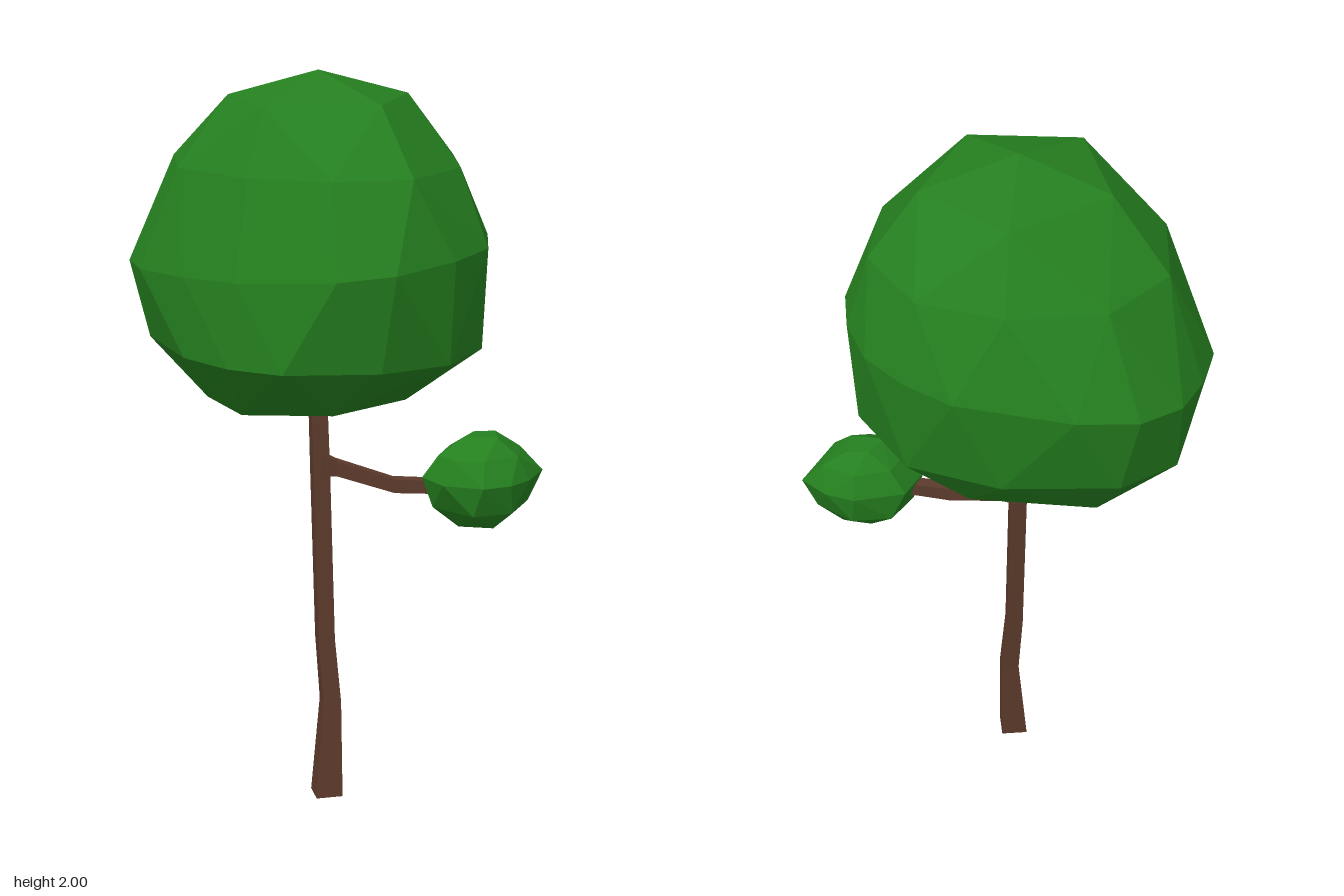
import * as THREE from 'three';
import { ConvexGeometry } from 'three/addons/geometries/ConvexGeometry.js';

const leafMat = new THREE.MeshStandardMaterial({ color: 0x25801f, flatShading: true });
const barkMat = new THREE.MeshStandardMaterial({ color: 0x5c3a2b, flatShading: true });

// Faceted foliage: convex hull around level outlines.
// Each ring: height, slope of the height along x, [x, z] corners.
function foliage(name, rings) {
  const points = [];
  for (const { y, slope = 0, at } of rings) {
    for (const [x, z] of at) points.push(new THREE.Vector3(x, y + slope * x, z));
  }
  const mesh = new THREE.Mesh(new ConvexGeometry(points), leafMat);
  mesh.name = name;
  return mesh;
}

// Four-sided limb along 'x' or 'y': a box whose levels move to sections [x, y, z, thickness].
function limb(name, axis, sections, twist = 0) {
  const n = sections.length - 1;
  const geo = new THREE.BoxGeometry(1, 1, 1, axis === 'x' ? n : 1, axis === 'y' ? n : 1, 1);
  const pos = geo.attributes.position;
  const up = new THREE.Vector3(axis === 'x' ? 1 : 0, axis === 'y' ? 1 : 0, 0);
  const v = new THREE.Vector3();
  for (let i = 0; i < pos.count; i++) {
    v.fromBufferAttribute(pos, i);
    const [x, y, z, t] = sections[Math.round((v[axis] + 0.5) * n)];
    v[axis] = 0;
    v.applyAxisAngle(up, twist).multiplyScalar(t);
    pos.setXYZ(i, v.x + x, v.y + y, v.z + z);
  }
  geo.computeVertexNormals();
  const mesh = new THREE.Mesh(geo, barkMat);
  mesh.name = name;
  return mesh;
}

export function createModel() {
  const tree = new THREE.Group();
  tree.name = 'tree';

  // Leaning trunk, flared at the foot
  tree.add(limb('trunk', 'y', [
    [-0.045, 0, 0.1, 0.074],
    [-0.032, 0.27, 0.081, 0.05],
    [-0.045, 0.45, 0.067, 0.046],
    [-0.053, 0.93, 0.03, 0.046],
    [-0.06, 1.3, 0, 0.042],
  ], 0.08));

  // Side branch carrying the small clump
  tree.add(limb('branch', 'x', [
    [-0.05, 0.94, 0.03, 0.06],
    [-0.01, 0.93, 0.04, 0.042],
    [0.14, 0.89, 0.095, 0.038],
    [0.28, 0.89, 0.13, 0.036],
  ]));

  // Large crown, top to bottom
  tree.add(foliage('crown', [
    { y: 2, at: [[-0.05, -0.01]] },
    { y: 1.93, at: [[-0.22, 0.21], [0.08, 0.23], [0.2, -0.07], [-0.02, -0.29], [-0.28, -0.1]] },
    { y: 1.76, at: [
      [-0.43, 0.06], [-0.27, 0.29], [-0.07, 0.39], [0.14, 0.37], [0.3, 0.16],
      [0.33, -0.1], [0.21, -0.32], [-0.01, -0.4], [-0.26, -0.38], [-0.42, -0.2]] },
    { y: 1.53, slope: 0.08, at: [
      [-0.55, -0.13], [-0.53, 0.02], [-0.43, 0.2], [-0.31, 0.35], [-0.07, 0.48],
      [0.08, 0.48], [0.25, 0.37], [0.36, 0.24], [0.4, 0.04], [0.39, -0.1], [0.34, -0.25],
      [0.24, -0.36], [0.12, -0.44], [-0.18, -0.49], [-0.34, -0.47], [-0.45, -0.39], [-0.51, -0.27]] },
    { y: 1.28, at: [
      [-0.5, -0.1], [-0.43, 0.18], [-0.33, 0.33], [-0.2, 0.42], [0.05, 0.44], [0.24, 0.36],
      [0.36, 0.18], [0.37, -0.1], [0.24, -0.33], [0, -0.43], [-0.3, -0.43], [-0.45, -0.33]] },
    { y: 1.135, slope: 0.05, at: [
      [-0.35, -0.05], [-0.28, 0.18], [-0.05, 0.27], [0.16, 0.16], [0.2, -0.08], [0.08, -0.28], [-0.25, -0.3]] },
  ]));

  // Small clump at the end of the branch
  tree.add(foliage('smallClump', [
    { y: 1.03, at: [[0.32, 0.15], [0.36, 0.09], [0.42, 0.09], [0.41, 0.17]] },
    { y: 0.985, at: [[0.25, 0.16], [0.3, 0.06], [0.4, 0.035], [0.49, 0.09], [0.46, 0.2], [0.36, 0.24], [0.28, 0.22]] },
    { y: 0.92, at: [
      [0.21, 0.14], [0.26, 0.04], [0.4, 0.01], [0.48, 0.04], [0.55, 0.11],
      [0.49, 0.21], [0.43, 0.26], [0.35, 0.28], [0.25, 0.23]] },
    { y: 0.835, at: [[0.24, 0.14], [0.3, 0.04], [0.41, 0.03], [0.51, 0.11], [0.44, 0.23], [0.33, 0.25]] },
    { y: 0.78, at: [[0.31, 0.15], [0.36, 0.09], [0.44, 0.11], [0.4, 0.18]] },
  ]));

  return tree;
}
